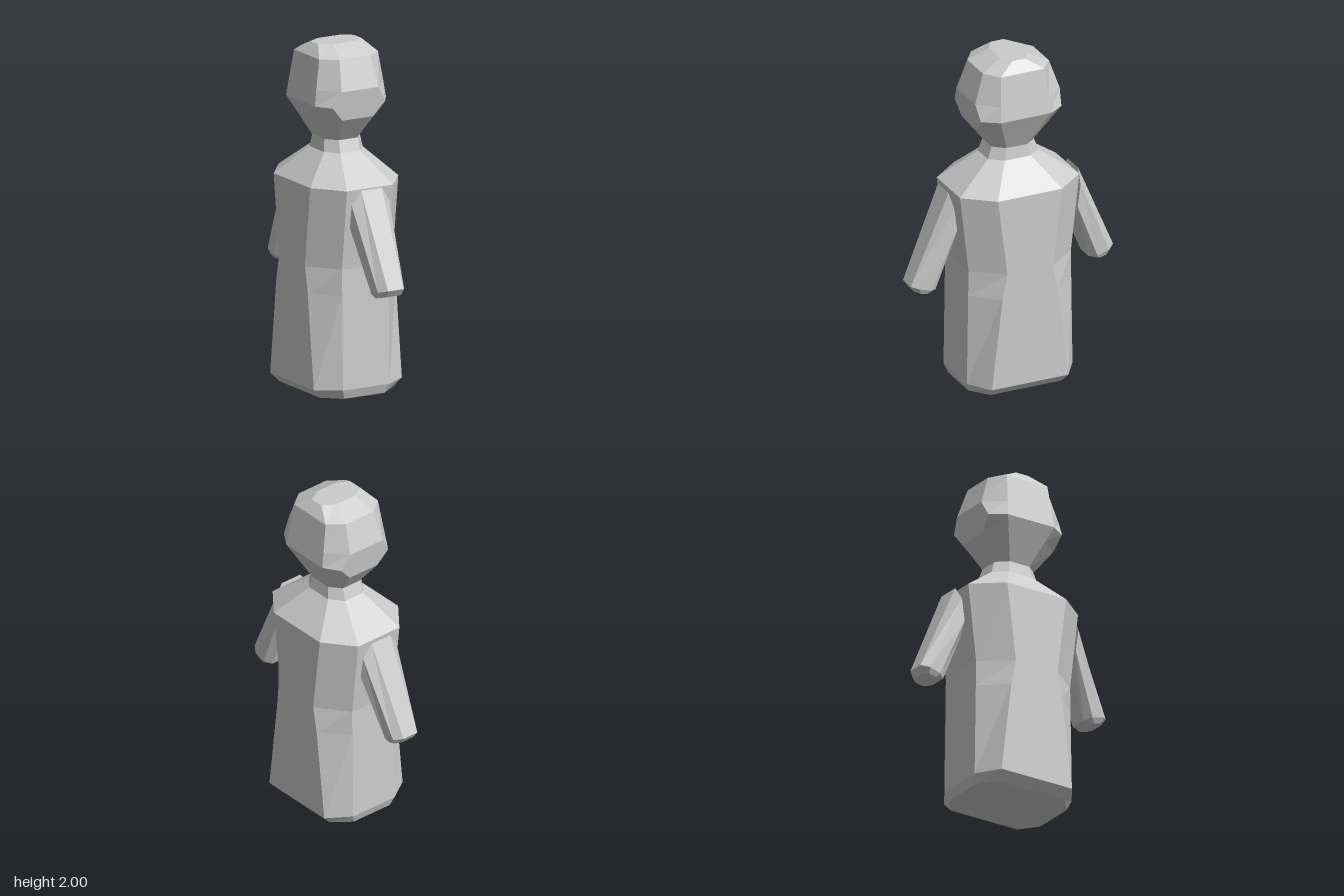
import * as THREE from 'three';

const material = new THREE.MeshStandardMaterial({ color: 0xcccccc, flatShading: true });

// Skin a stack of equal-length rings, bottom to top, with optional end caps
function loft(name, rings, capBottom = true, capTop = true) {
  const n = rings[0].length;
  const index = [];
  for (let r = 0; r < rings.length - 1; r++) {
    for (let i = 0; i < n; i++) {
      const j = (i + 1) % n;
      const a = r * n + i, b = r * n + j, c = b + n, d = a + n;
      index.push(a, b, c, a, c, d);
    }
  }
  const top = (rings.length - 1) * n;
  for (let i = 1; i < n - 1; i++) {
    if (capBottom) index.push(0, i + 1, i);
    if (capTop) index.push(top, top + i, top + i + 1);
  }
  const indexed = new THREE.BufferGeometry();
  indexed.setAttribute('position', new THREE.Float32BufferAttribute(rings.flat(2), 3));
  indexed.setIndex(index);
  const geometry = indexed.toNonIndexed();
  geometry.computeVertexNormals();
  const mesh = new THREE.Mesh(geometry, material);
  mesh.name = name;
  return mesh;
}

// Eight-sided ring: side faces at +-hx reach +-cz, front/back faces at +-hz reach +-cx
const octagon = ([y, hx, cz, hz, cx]) => [
  [hx, y, cz], [hx, y, -cz], [cx, y, -hz], [-cx, y, -hz],
  [-hx, y, -cz], [-hx, y, cz], [-cx, y, hz], [cx, y, hz],
];

// Slanted eight-sided arm ring between an outer and an inner [y, z] point
function armRing(outer, inner, [left, right], [edgeLeft, edgeRight]) {
  const at = (x, t) => [
    x,
    THREE.MathUtils.lerp(outer[0], inner[0], t),
    THREE.MathUtils.lerp(outer[1], inner[1], t),
  ];
  return [
    at(right, 0.28), at(right, 0.75), at(edgeRight, 1), at(edgeLeft, 1),
    at(left, 0.75), at(left, 0.28), at(edgeLeft, 0), at(edgeRight, 0),
  ];
}

export function createModel() {
  const model = new THREE.Group();
  model.name = 'figure';

  // Long robe, pinched at the waist, sloping shoulders
  model.add(loft('robe', [
    [0.00, 0.12, 0.15, 0.22, 0.09],
    [0.027, 0.235, 0.22, 0.305, 0.13],
    [0.08, 0.285, 0.235, 0.325, 0.15],
    [0.62, 0.285, 0.17, 0.317, 0.15],
    [0.77, 0.285, 0.14, 0.315, 0.15],
    [1.23, 0.285, 0.197, 0.367, 0.15],
    [1.39, 0.125, 0.08, 0.155, 0.065],
  ].map(octagon), true, false));

  // Short neck
  model.add(loft('neck', [
    [1.39, 0.125, 0.08, 0.155, 0.065],
    [1.46, 0.115, 0.065, 0.13, 0.06],
  ].map(octagon), false, false));

  // Faceted head, widest at the cheeks, with hexagonal face plane
  model.add(loft('head', [
    [1.46, 0.115, 0.065, 0.13, 0.06],
    [1.60, 0.188, 0.122, 0.236, 0.10],
    [1.68, 0.23, 0.155, 0.247, 0.17],
    [1.77, 0.217, 0.148, 0.26, 0.12],
    [1.94, 0.19, 0.135, 0.203, 0.10],
    [2.00, 0.14, 0.04, 0.083, 0.07],
  ].map(octagon), false, true));

  // Tapered arms, cut flat where they face the body; the back one is turned half round
  const armRings = [
    armRing([0.66, 0.60], [0.637, 0.51], [-0.065, 0.075], [-0.03, 0.05]),
    armRing([0.70, 0.627], [0.655, 0.475], [-0.08, 0.09], [-0.04, 0.06]),
    armRing([1.23, 0.395], [0.945, 0.357], [-0.13, 0.113], [-0.075, 0.06]),
  ];
  ['frontArm', 'backArm'].forEach((name, i) => {
    const arm = loft(name, armRings);
    arm.rotation.y = i * Math.PI;
    model.add(arm);
  });

  return model;
}
